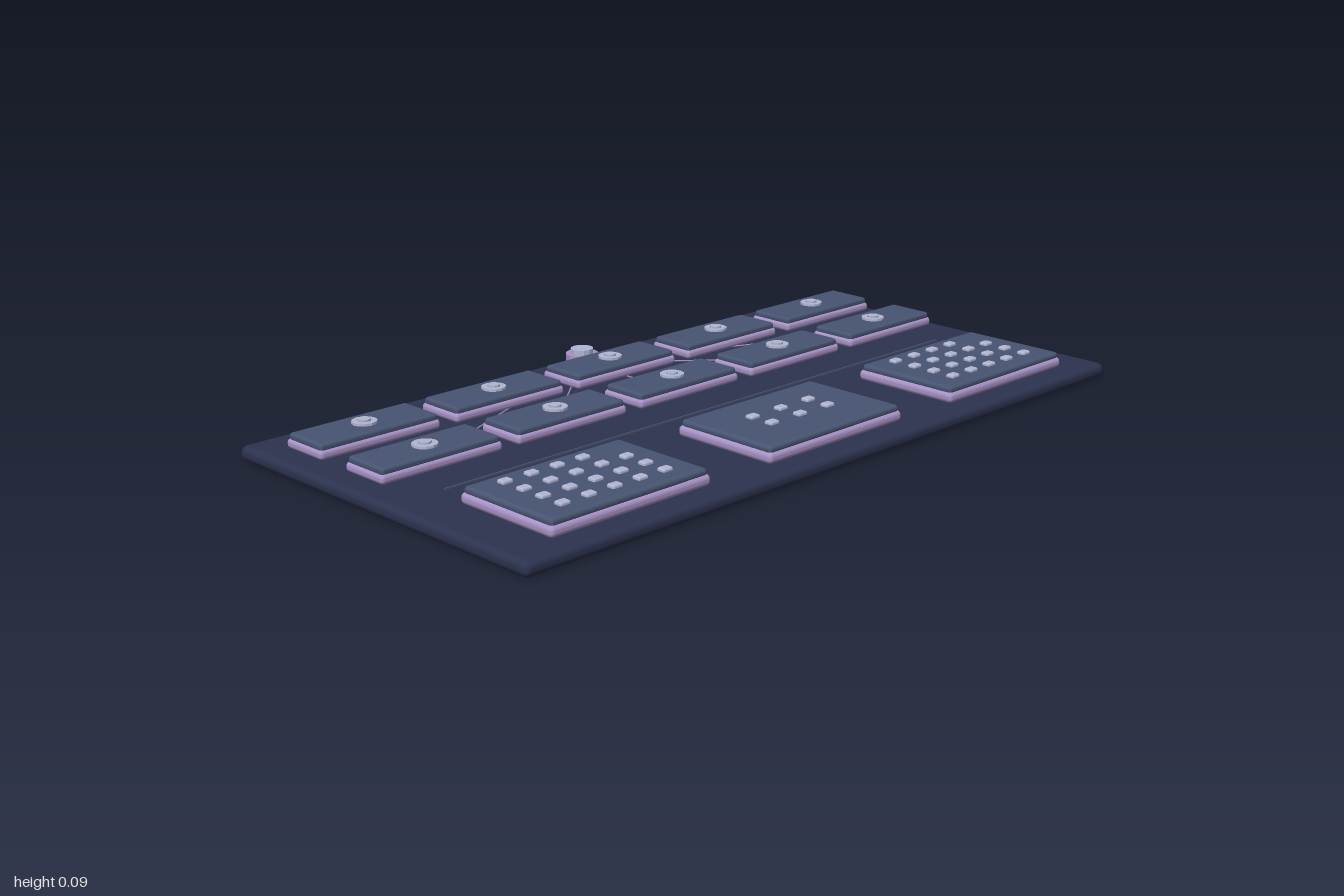
import * as THREE from 'three';
import { RoundedBoxGeometry } from 'three/addons/geometries/RoundedBoxGeometry.js';

const flat = (name, color) => {
  const m = new THREE.MeshStandardMaterial({ color });
  m.name = name;
  return m;
};

export function createModel() {
  const navy = flat('navy', 0x2c334f);
  const slate = flat('slate', 0x485472);
  const lavender = flat('lavender', 0xa893c6);
  const pale = flat('paleLilac', 0xb2b7d3);

  const model = new THREE.Group();
  model.name = 'controlBoard';

  const add = (parent, name, geometry, material, x, y, z) => {
    const mesh = new THREE.Mesh(geometry, material);
    mesh.name = name;
    mesh.position.set(x, y, z);
    parent.add(mesh);
    return mesh;
  };
  // Rounded slab given by its bottom and top heights
  const slab = (parent, name, w, d, y0, y1, r, material, x, z) =>
    add(parent, name, new RoundedBoxGeometry(w, y1 - y0, d, 3, r), material, x, (y0 + y1) / 2, z);
  const disc = (parent, name, r, y0, y1, material, x, z) => {
    const geometry = new THREE.CylinderGeometry(r, r, y1 - y0, 12).toNonIndexed();
    geometry.computeVertexNormals();
    return add(parent, name, geometry, material, x, (y0 + y1) / 2, z);
  };

  // Base board
  slab(model, 'baseBoard', 2, 1.03, 0, 0.038, 0.017, navy, 0, 0);

  // Divider line between the cards and the panels
  add(model, 'divider', new THREE.BoxGeometry(1.7, 0.004, 0.004), slate, 0, 0.04, 0.065);

  // Hub at the back edge
  const hub = new THREE.Vector3(0, 0.047, -0.44);
  disc(model, 'hubBody', 0.043, 0.048, 0.074, lavender, 0, hub.z);
  disc(model, 'hubCap', 0.03, 0.074, 0.087, pale, 0, hub.z);

  // Two rows of five cards, each wired to the hub
  for (const z of [-0.33, -0.1]) {
    for (let i = -2; i <= 2; i++) {
      const x = i * 0.3875;
      const card = new THREE.Group();
      card.name = 'card';
      model.add(card);
      slab(card, 'cardTrim', 0.342, 0.138, 0.046, 0.07, 0.01, lavender, x, z);
      slab(card, 'cardFace', 0.332, 0.128, 0.064, 0.084, 0.008, slate, x, z);
      disc(card, 'cardButton', 0.031, 0.083, 0.09, pale, x, z);
      disc(card, 'cardButtonTip', 0.016, 0.09, 0.095, pale, x, z);

      const wire = new THREE.LineCurve3(hub, new THREE.Vector3(x, 0.047, z));
      add(model, 'wire', new THREE.TubeGeometry(wire, 1, 0.002, 6), lavender, 0, 0, 0);
    }
  }

  // Three front panels with grids of small keys
  const keyGeometry = new RoundedBoxGeometry(0.03, 0.012, 0.024, 2, 0.005);
  for (const px of [-0.65, 0, 0.65]) {
    const panel = new THREE.Group();
    panel.name = 'panel';
    model.add(panel);
    slab(panel, 'panelTrim', 0.465, 0.3, 0.038, 0.066, 0.012, lavender, px, 0.307);
    slab(panel, 'panelFace', 0.452, 0.288, 0.06, 0.08, 0.009, slate, px, 0.307);

    const side = px !== 0;
    const rows = side ? [0.21, 0.273, 0.335, 0.396] : [0.273, 0.335];
    const columns = side ? 5 : 3;
    const step = side ? 0.074 : 0.097;
    rows.forEach((z, r) => {
      // The back row of a side panel is one key short
      const count = side && r === 0 ? columns - 1 : columns;
      for (let c = 0; c < count; c++) {
        add(panel, 'key', keyGeometry, pale, px + (c - (columns - 1) / 2) * step, 0.082, z);
      }
    });
  }

  return model;
}
